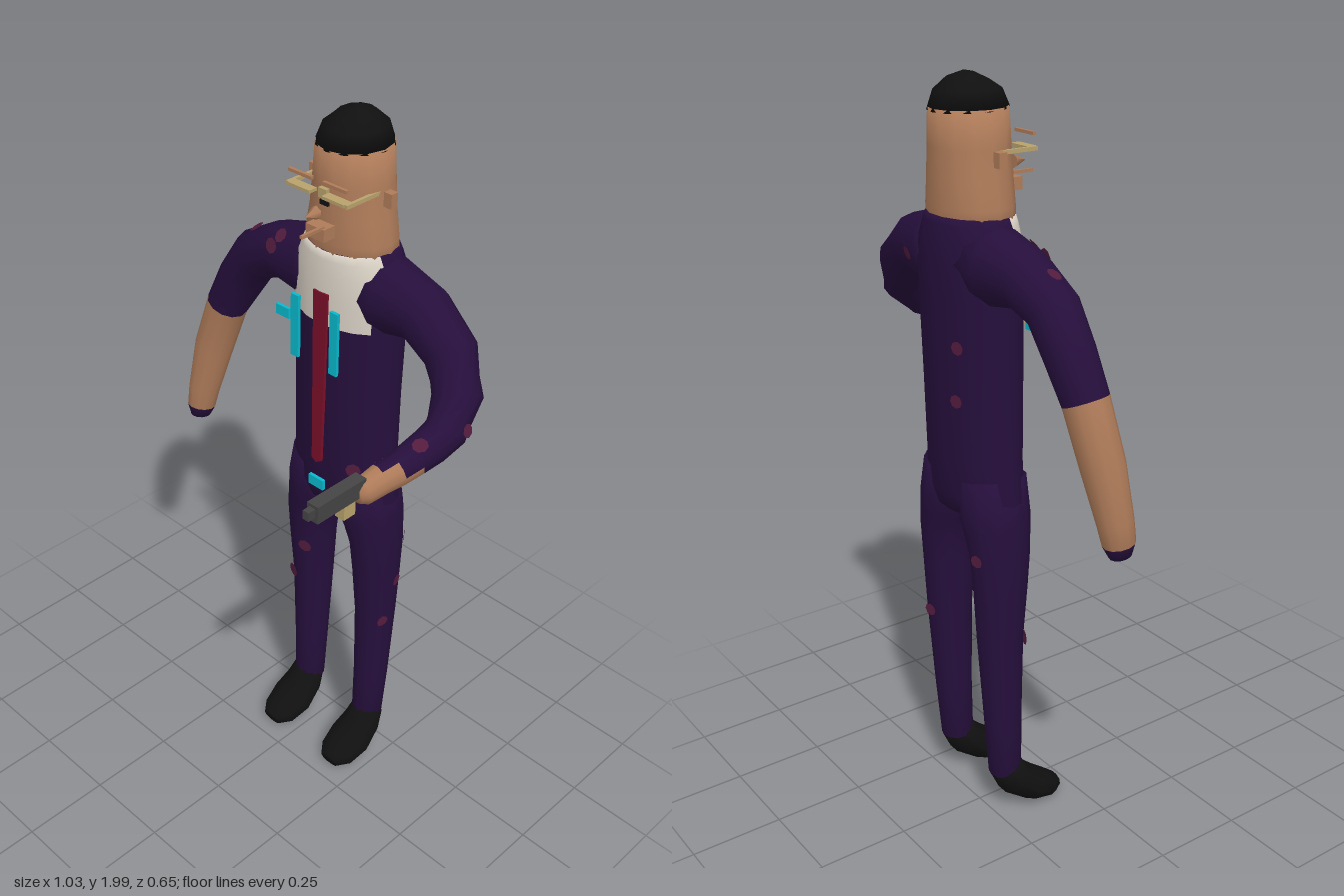
import * as THREE from 'three';

const mat = (name, color) => {
  const m = new THREE.MeshStandardMaterial({ color });
  m.name = name;
  return m;
};

export function createModel() {
  const suit = mat('suit purple', 0x260f3c);
  const skin = mat('skin', 0xae7b59);
  const black = mat('black', 0x101010);
  const shirt = mat('shirt white', 0xd8d0c4);
  const red = mat('tie red', 0x7a0f28);
  const cyan = mat('cyan', 0x08b8cc);
  const tan = mat('tan', 0xb8a26c);
  const metal = mat('gun grey', 0x444444);
  const stain = mat('stain', 0x541c3e);
  stain.side = THREE.DoubleSide;

  const model = new THREE.Group();
  model.name = 'figure';
  const CX = 0.05; // middle of the body

  // Closed loft through stations [x, y, z, radius along ref, other radius].
  // pick(centroid, ring) chooses the material of each face.
  function loft(name, path, ref, n, mats, pick = () => 0) {
    const pos = [], groups = mats.map(() => []);
    const at = (i) => new THREE.Vector3(path[i][0], path[i][1], path[i][2]);
    const last = path.length - 1;
    path.forEach(([, , , ra, rb = ra], i) => {
      const t = at(Math.min(i + 1, last)).sub(at(Math.max(i - 1, 0))).normalize();
      const v = t.clone().cross(ref).normalize();
      const u = v.clone().cross(t).normalize();
      for (let j = 0; j < n; j++) {
        const a = (j / n) * Math.PI * 2;
        const p = at(i).addScaledVector(u, ra * Math.cos(a)).addScaledVector(v, rb * Math.sin(a));
        pos.push(p.x, p.y, p.z);
      }
    });
    pos.push(...at(0).toArray(), ...at(last).toArray());
    const P = (k) => new THREE.Vector3().fromArray(pos, k * 3);
    const start = path.length * n;
    for (let j = 0; j < n; j++) {
      const k = (j + 1) % n;
      for (let i = 0; i < last; i++) {
        const a = i * n + j, b = i * n + k, c = b + n, d = a + n;
        const mid = P(a).add(P(b)).add(P(c)).add(P(d)).multiplyScalar(0.25);
        groups[pick(mid, i)].push(a, b, c, a, c, d);
      }
      groups[pick(at(0), 0)].push(start, k, j);
      groups[pick(at(last), last)].push(start + 1, last * n + j, last * n + k);
    }
    const g = new THREE.BufferGeometry();
    g.setAttribute('position', new THREE.Float32BufferAttribute(pos, 3));
    g.setIndex(groups.flat());
    let from = 0;
    groups.forEach((list, m) => {
      g.addGroup(from, list.length, m);
      from += list.length;
    });
    g.computeVertexNormals();
    const mesh = new THREE.Mesh(g, mats);
    mesh.name = name;
    model.add(mesh);
    return mesh;
  }

  // Box from its limits on each axis
  function box(name, m, [x0, x1], [y0, y1], [z0, z1]) {
    const mesh = new THREE.Mesh(new THREE.BoxGeometry(x1 - x0, y1 - y0, z1 - z0), m);
    mesh.position.set((x0 + x1) / 2, (y0 + y1) / 2, (z0 + z1) / 2);
    mesh.name = name;
    model.add(mesh);
    return mesh;
  }

  const X = new THREE.Vector3(1, 0, 0), Y = new THREE.Vector3(0, 1, 0), Z = new THREE.Vector3(0, 0, 1);
  // Upright station: height, half width, front z, back z
  const ring = ([y, rx, zf, zb]) => [CX, y, (zf + zb) / 2, rx, (zf - zb) / 2];

  // Torso with the shirt front
  const torso = loft('torso', [
    [0.9, 0.17, -0.13, -0.295], [0.95, 0.178, -0.115, -0.305], [1.05, 0.162, -0.107, -0.312],
    [1.25, 0.158, -0.098, -0.318], [1.47, 0.16, -0.095, -0.323], [1.55, 0.162, -0.094, -0.324],
    [1.61, 0.155, -0.096, -0.32], [1.65, 0.138, -0.1, -0.312], [1.67, 0.126, -0.104, -0.307],
  ].map(ring), X, 20, [suit, shirt],
  (c, i) => (i >= 4 && i < 8 && c.z > -0.165 && Math.abs(c.x - CX) < 0.135 ? 1 : 0));

  // Neck and head in one tapering column, then the hair cap
  loft('head', [
    [1.6, 0.13, -0.105, -0.305], [1.69, 0.126, -0.104, -0.306], [1.75, 0.114, -0.104, -0.306],
    [1.83, 0.102, -0.104, -0.306], [1.92, 0.093, -0.105, -0.305],
  ].map(ring), X, 14, [skin]);
  loft('hair', [
    [1.915, 0.094, -0.104, -0.306], [1.96, 0.078, -0.122, -0.29], [1.985, 0.05, -0.155, -0.255],
    [2.0, 0.012, -0.19, -0.215],
  ].map(ring), X, 12, [black]);

  // Legs and shoes
  const clothes = [torso];
  for (const [side, s] of [['left', 1], ['right', -1]]) {
    clothes.push(loft(side + 'Leg', [
      [0.13, 0.12, -0.165, -0.255, 0.045], [0.3, 0.122, -0.165, -0.268, 0.05],
      [0.55, 0.1225, -0.158, -0.285, 0.057], [0.7, 0.122, -0.143, -0.292, 0.064],
      [0.8, 0.119, -0.133, -0.298, 0.07], [0.86, 0.107, -0.126, -0.302, 0.081],
      [0.9, 0.095, -0.12, -0.305, 0.09], [1.0, 0.08, -0.12, -0.3, 0.085],
    ].map(([y, off, zf, zb, rx]) => [CX + s * off, y, (zf + zb) / 2, rx, (zf - zb) / 2]), X, 12, [suit]));
    loft(side + 'Shoe', [
      [0.145, -0.211, 0.046, 0.046], [0.1, -0.187, 0.058, 0.05], [0.06, -0.135, 0.07, 0.046],
      [0.037, -0.08, 0.06, 0.033], [0.03, -0.045, 0.032, 0.018],
    ].map(([y, z, ra, rb]) => [CX + s * 0.123, y, z, ra, rb]), X, 10, [black]);
  }

  // Hanging arm: sleeve to the elbow, bare forearm, dark tip
  clothes.push(loft('rightArm', [
    [-0.01, 1.57, -0.212, 0.098, 0.1], [-0.08, 1.555, -0.211, 0.088, 0.1], [-0.19, 1.548, -0.208, 0.075, 0.076],
    [-0.285, 1.5, -0.205, 0.066, 0.07], [-0.345, 1.41, -0.203, 0.062, 0.067], [-0.4, 1.31, -0.198, 0.058, 0.058],
    [-0.443, 1.16, -0.18, 0.055, 0.056], [-0.468, 1.02, -0.16, 0.046, 0.045], [-0.473, 0.965, -0.152, 0.042, 0.04],
    [-0.473, 0.932, -0.147, 0.03, 0.026],
  ], Z, 12, [suit, skin], (c, i) => (i >= 5 && i < 8 ? 1 : 0)));

  // Raised arm reaching forward with a torn sleeve
  clothes.push(loft('leftArm', [
    [0.11, 1.57, -0.212, 0.1, 0.098], [0.18, 1.555, -0.211, 0.1, 0.088], [0.29, 1.548, -0.208, 0.076, 0.075],
    [0.385, 1.485, -0.198, 0.07, 0.066], [0.44, 1.405, -0.165, 0.06, 0.062], [0.463, 1.345, -0.1, 0.052, 0.053],
    [0.458, 1.325, -0.05, 0.05, 0.048], [0.45, 1.31, 0, 0.047, 0.044], [0.44, 1.295, 0.045, 0.044, 0.041],
    [0.43, 1.285, 0.09, 0.041, 0.037], [0.422, 1.272, 0.14, 0.036, 0.033], [0.42, 1.27, 0.16, 0.022, 0.022],
  ], Y, 12, [suit, skin], (c) => (c.z < 0.03 + (c.y - 1.3) * 2 ? 0 : 1)));

  // Tie: a thin tapering plate
  const tieShape = new THREE.Shape([[0.03, 1.56], [0.035, 1.06], [0.05, 1.05], [0.067, 1.06], [0.078, 1.56]]
    .map(([x, y]) => new THREE.Vector2(x, y)));
  const tie = new THREE.Mesh(new THREE.ExtrudeGeometry(tieShape, { depth: 0.009, bevelEnabled: false }), red);
  tie.position.z = -0.1;
  tie.name = 'tie';
  model.add(tie);

  // Cyan braces, pocket cloth and belt buckle
  for (const x of [-0.027, 0.106]) box('brace', cyan, [x, x + 0.026], [1.36, 1.535], [-0.08, -0.071]);
  box('pocketCloth', cyan, [-0.08, -0.035], [1.457, 1.485], [-0.081, -0.072]);
  box('beltBuckle', cyan, [0.026, 0.078], [0.97, 1.0], [-0.1, -0.09]);

  // Ears, brows, glasses
  for (const s of [1, -1]) {
    const span = (a, b) => (s > 0 ? [CX + a, CX + b] : [CX - b, CX - a]);
    box('ear', skin, span(0.11, 0.134), [1.79, 1.827], [-0.21, -0.188]);
    box('brow', skin, span(0.018, 0.094), [1.851, 1.859], [-0.085, -0.076]);
    box('glassesRim', tan, span(0.02, 0.09), [1.817, 1.825], [-0.098, -0.072]);
    box('glassesTemple', tan, span(0.09, 0.099), [1.815, 1.825], [-0.22, -0.075]);
  }
  box('glassesBridge', tan, [0.038, 0.064], [1.805, 1.83], [-0.106, -0.094]);
  box('noseShadow', black, [0.038, 0.064], [1.786, 1.798], [-0.107, -0.1]);

  // Nose, mouth and cigarette
  const nose = new THREE.Mesh(new THREE.ConeGeometry(0.018, 0.037, 6), skin);
  nose.rotation.x = Math.PI / 2;
  nose.position.set(CX, 1.775, -0.058);
  nose.name = 'nose';
  model.add(nose);
  box('mouth', skin, [0.022, 0.082], [1.71, 1.742], [-0.115, -0.07]);
  box('cigarette', skin, [0.067, 0.075], [1.739, 1.747], [-0.08, -0.005]);

  // Pistol
  box('pistolSlide', metal, [0.398, 0.432], [1.268, 1.315], [0.14, 0.3]);
  box('pistolMuzzle', metal, [0.406, 0.424], [1.283, 1.307], [0.3, 0.322]);
  box('pistolGrip', tan, [0.4, 0.428], [1.226, 1.268], [0.17, 0.208]);
  box('thumb', tan, [0.368, 0.402], [1.252, 1.276], [0.145, 0.166]);

  // Stains dropped onto the suit along an axis: [origin, direction, radius]
  const rays = new THREE.Raycaster();
  const drop = (o, d, r) => {
    rays.set(new THREE.Vector3(...o), new THREE.Vector3(...d));
    const hit = rays.intersectObjects(clothes)[0];
    if (!hit) return;
    const spot = new THREE.Mesh(new THREE.CircleGeometry(r, 8), stain);
    spot.position.copy(hit.point).addScaledVector(hit.face.normal, 0.003);
    spot.lookAt(spot.position.clone().add(hit.face.normal));
    spot.name = 'stain';
    model.add(spot);
  };
  for (const [x, y] of [[-0.165, 1.59], [0.15, 1.055], [0.08, 0.93], [-0.045, 0.675], [-0.1, 0.545]])
    drop([x, y, 2], [0, 0, -1], 0.021);
  for (const [x, y] of [[-0.03, 1.36], [-0.02, 1.22], [-0.08, 0.8], [0.17, 0.55], [0.2, 1.55]])
    drop([x, y, -2], [0, 0, 1], 0.018);
  for (const [z, y] of [[-0.265, 0.8], [-0.235, 0.665], [-0.195, 0.53], [-0.12, 1.36]])
    drop([2, y, z], [-1, 0, 0], 0.018);
  for (const [x, z] of [[-0.28, -0.2], [-0.15, -0.16], [0.47, 0]]) drop([x, 3, z], [0, -1, 0], 0.02);

  return model;
}
